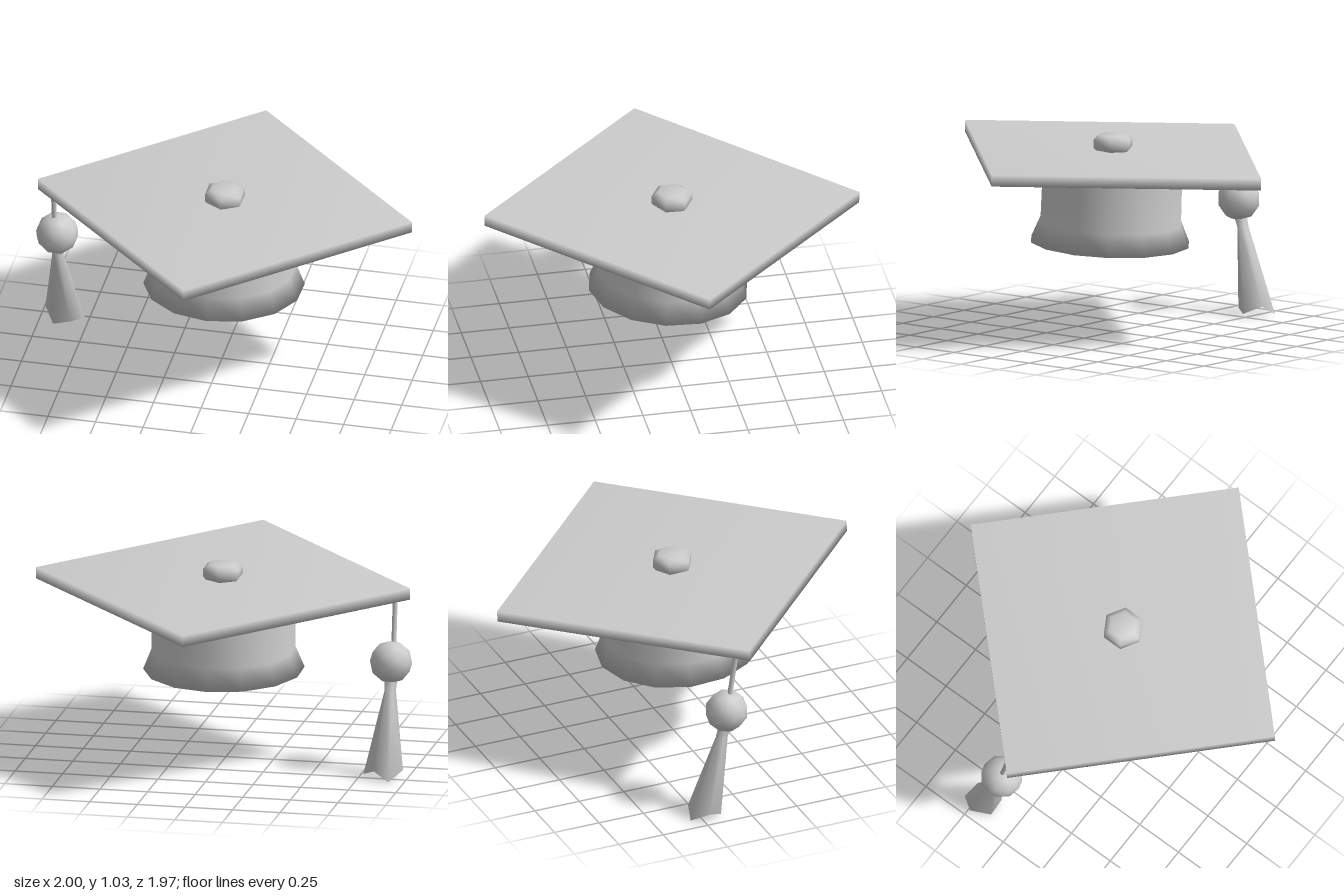
import * as THREE from 'three';
import { mergeVertices } from 'three/addons/utils/BufferGeometryUtils.js';

const material = new THREE.MeshStandardMaterial({ color: 0xcccccc });

// Weld all corners so the shading runs smoothly over every edge
function smooth(geometry) {
  geometry.deleteAttribute('uv');
  geometry.deleteAttribute('normal');
  const welded = mergeVertices(geometry, 1e-4);
  welded.computeVertexNormals();
  return welded;
}

function part(name, geometry) {
  const mesh = new THREE.Mesh(smooth(geometry), material);
  mesh.name = name;
  return mesh;
}

function lathe(profile, sides) {
  return new THREE.LatheGeometry(profile.map(([r, y]) => new THREE.Vector2(r, y)), sides);
}

// Flared tail: six-sided rings from the ragged hem up to the neck
function tailGeometry() {
  const hem = [
    [-0.83, 0.03, -0.14], [-0.77, 0.015, -0.22], [-0.84, 0.05, -0.29],
    [-0.92, 0.003, -0.31], [-0.98, 0.05, -0.23], [-0.92, 0.005, -0.14],
  ];
  const sides = hem.length;
  const ring = (y, z, r) => hem.map((_, k) => {
    const a = (k + 0.5) * Math.PI * 2 / sides;
    return [-0.89 + r * Math.sin(a), y, z + r * Math.cos(a)];
  });
  const points = [...hem, ...ring(0.44, -0.122, 0.03), ...ring(0.51, -0.1, 0.034), [-0.875, 0.06, -0.22]];
  const center = points.length - 1;
  const index = [];
  for (let k = 0; k < sides; k++) {
    const n = (k + 1) % sides;
    for (let r = 0; r < 2; r++) {
      const a = r * sides + k, b = r * sides + n;
      index.push(a, b, a + sides, b, b + sides, a + sides);
    }
    index.push(center, n, k);
  }
  const geometry = new THREE.BufferGeometry();
  geometry.setAttribute('position', new THREE.Float32BufferAttribute(points.flat(), 3));
  geometry.setIndex(index);
  return geometry;
}

export function createModel() {
  const model = new THREE.Group();
  model.name = 'graduationCap';

  // Board and crown lean back together
  const cap = new THREE.Group();
  cap.name = 'cap';
  cap.position.set(0.015, 0.925, 0);
  cap.rotation.x = -0.046;
  model.add(cap);

  const side = 0.983 * Math.SQRT2;
  const board = part('board', new THREE.BoxGeometry(side, 0.06, side));
  board.rotation.y = Math.PI / 4;
  cap.add(board);

  // Crown: straight wall with a flared, closed rim
  cap.add(part('crown', lathe(
    [[0, -0.455], [0.415, -0.455], [0.37, -0.345], [0.367, -0.02]], 14)));

  // Six-sided button on top
  const button = part('button', lathe(
    [[0, 0.94], [0.085, 0.945], [0.107, 0.97], [0.107, 1.012], [0.075, 1.033], [0, 1.035]], 6));
  button.position.x = 0.015;
  model.add(button);

  // Tassel hanging from the right corner
  const tassel = new THREE.Group();
  tassel.name = 'tassel';
  model.add(tassel);

  const cord = new THREE.LineCurve3(
    new THREE.Vector3(-0.9, 0.92, -0.045), new THREE.Vector3(-0.9, 0.66, -0.085));
  tassel.add(part('cord', new THREE.TubeGeometry(cord, 1, 0.013, 6)));

  const knot = part('knot', new THREE.IcosahedronGeometry(0.111, 1));
  knot.position.set(-0.888, 0.585, -0.095);
  tassel.add(knot);

  tassel.add(part('tail', tailGeometry()));
  return model;
}
